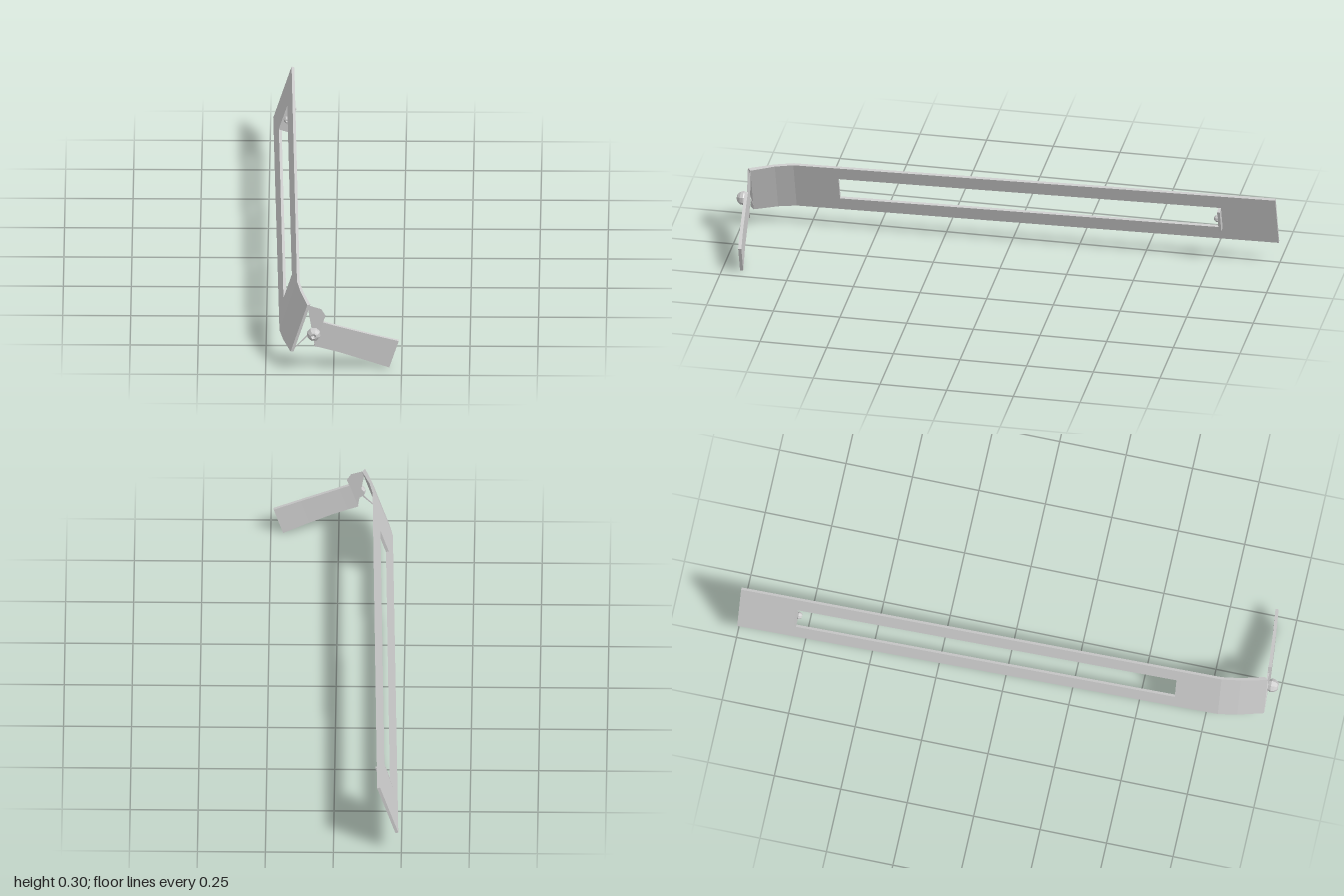
import * as THREE from 'three';

const material = new THREE.MeshStandardMaterial({ color: 0xcccccc, flatShading: true });
const THICK = 0.011;
const TILT = -0.313;
const CENTRE = 0.127; // mid height of the strap before tilting

// Solid through four-cornered sections, wound counter-clockwise along the path
function loft(sections) {
  const pos = [];
  const quad = (a, b, c, d) => pos.push(...a, ...b, ...c, ...a, ...c, ...d);
  for (let i = 0; i < sections.length - 1; i++) {
    const s = sections[i], t = sections[i + 1];
    for (let j = 0; j < 4; j++) {
      const k = (j + 1) % 4;
      quad(s[j], s[k], t[k], t[j]);
    }
  }
  quad(...sections[0].slice().reverse());
  quad(...sections[sections.length - 1]);
  const geometry = new THREE.BufferGeometry();
  geometry.setAttribute('position', new THREE.Float32BufferAttribute(pos, 3));
  geometry.computeVertexNormals();
  return geometry;
}

const outline = (pts) => pts.map(([x, y]) => new THREE.Vector2(x, y));

// Long flat strap with a slot, leaning slightly along its length
function strapGeometry() {
  const shape = new THREE.Shape(outline([[-0.8, -0.1045], [1, -0.109], [1, 0.11], [-0.8, 0.1045]]));
  shape.holes.push(new THREE.Path(outline([[-0.635, -0.05], [-0.635, 0.05], [0.785, 0.05], [0.785, -0.05]])));
  const geometry = new THREE.ExtrudeGeometry(shape, { depth: THICK, bevelEnabled: false });
  geometry.rotateY(Math.PI / 2);
  const p = geometry.attributes.position;
  for (let i = 0; i < p.count; i++) {
    p.setX(i, p.getX(i) - 0.257 + 0.039 * (p.getZ(i) + 1) / 1.8);
  }
  geometry.computeVertexNormals();
  return geometry;
}

// Bend from the strap to the front plate: outer u, z, inner u, z, half width
function bendGeometry() {
  return loft([
    [-0.218, 0.8, -0.207, 0.8, 0.1045],
    [-0.204, 0.87, -0.193, 0.867, 0.103],
    [-0.175, 0.965, -0.163, 0.953, 0.1],
  ].map(([uo, zo, ui, zi, h]) => [[uo, -h, zo], [ui, -h, zi], [ui, h, zi], [uo, h, zo]]));
}

// Front plate with clipped corners
function plateGeometry() {
  const half = [[-0.121, 0.1], [-0.098, 0.08], [-0.098, 0.05]];
  const upper = [[-0.175, 0.1], ...half];
  const lower = upper.map(([x, y]) => [x, -y]).reverse();
  const geometry = new THREE.ExtrudeGeometry(new THREE.Shape(outline([...lower, ...upper.reverse()])),
    { depth: 0.012, bevelEnabled: false });
  return geometry.translate(0, 0, 0.953);
}

// Side arm, sweeping gently backwards: u, front z, bottom, top
function armGeometry() {
  return loft([
    [-0.1, 0.965, -0.051, 0.051],
    [-0.06, 0.962, -0.05, 0.05],
    [0.0, 0.956, -0.05, 0.05],
    [0.09, 0.947, -0.055, 0.05],
    [0.194, 0.934, -0.062, 0.051],
  ].map(([u, z, lo, hi]) => [[u, lo, z - 0.012], [u, hi, z - 0.012], [u, hi, z], [u, lo, z]]));
}

// Low-poly domed rivet with a small recess, facing +z
function rivetGeometry(radius, height) {
  const profile = outline([[0, 0], [0.8, 0], [1, 0.3], [0.92, 0.62], [0.62, 0.92], [0.4, 1], [0, 0.7]])
    .map((q) => new THREE.Vector2(q.x * radius, q.y * height));
  return new THREE.LatheGeometry(profile, 8).rotateX(Math.PI / 2);
}

export function createModel() {
  const model = new THREE.Group();
  model.name = 'slottedBracket';
  const body = new THREE.Group();
  body.name = 'tiltedBody';
  body.rotation.z = TILT;
  body.position.set(-Math.sin(TILT) * CENTRE, Math.cos(TILT) * CENTRE, 0);
  model.add(body);

  const add = (name, geometry, x = 0, y = 0, z = 0) => {
    const mesh = new THREE.Mesh(geometry, material);
    mesh.name = name;
    mesh.position.set(x, y, z);
    body.add(mesh);
  };

  add('strap', strapGeometry());
  add('bend', bendGeometry());
  add('frontPlate', plateGeometry());
  add('arm', armGeometry());
  add('frontRivet', rivetGeometry(0.026, 0.036), -0.118, 0, 0.964);
  // Upright tab at the far end of the slot
  add('slotTab', new THREE.BoxGeometry(0.036, 0.1, 0.01), -0.235, 0, -0.789);
  add('tabRivet', rivetGeometry(0.014, 0.018), -0.236, 0, -0.785);
  return model;
}
